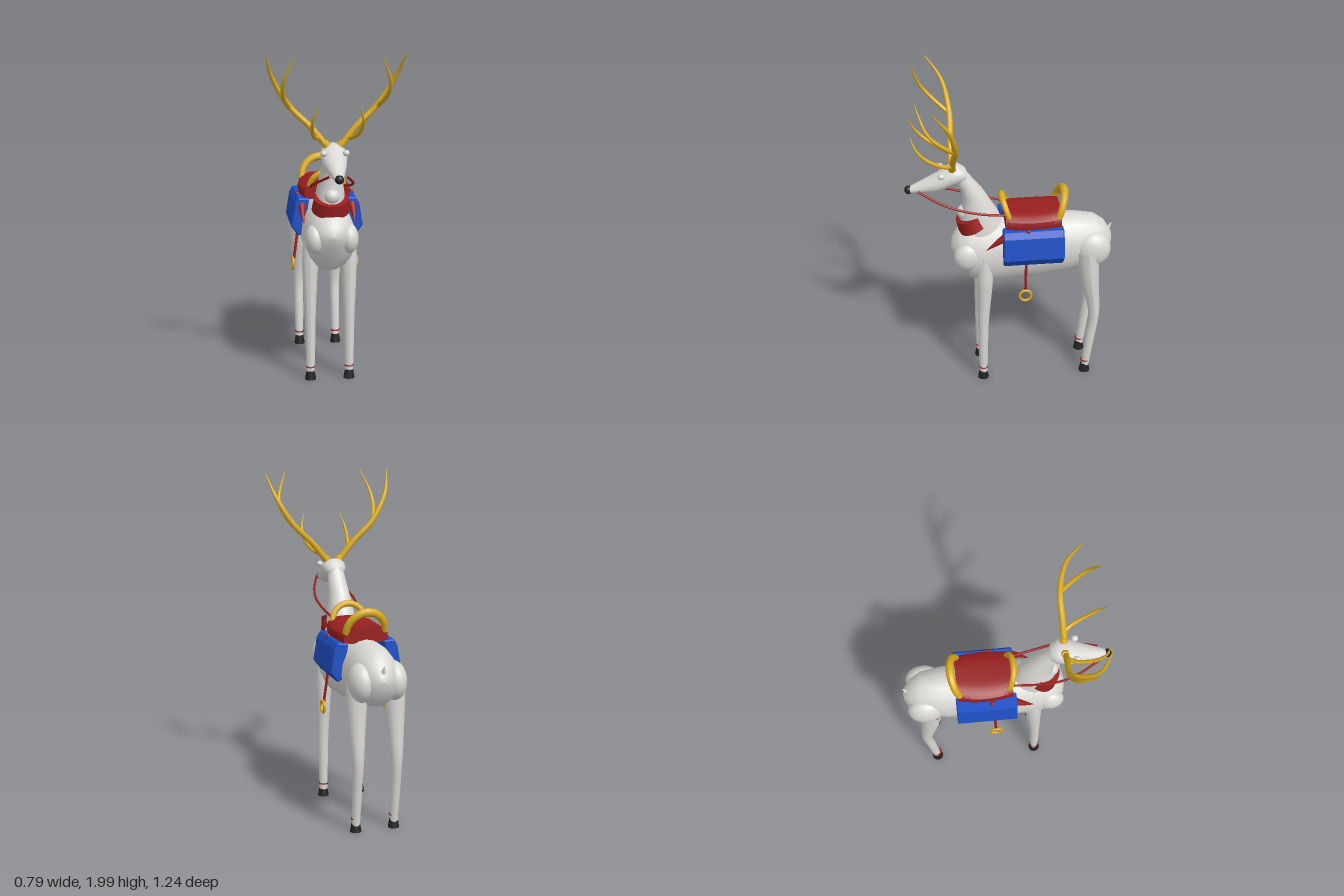
import * as THREE from 'three';
import { toCreasedNormals } from 'three/addons/utils/BufferGeometryUtils.js';

const paint = (name, color) => {
  const m = new THREE.MeshStandardMaterial({ color });
  m.name = name;
  return m;
};
const V = (x, y, z) => new THREE.Vector3(x, y, z);

// Skin over elliptical rings [z1, y1, z2, y2, halfWidth], spanning two points of the side profile
function loft(rings, sides = 20) {
  const pos = [], idx = [];
  for (const [z1, y1, z2, y2, w] of rings) {
    for (let j = 0; j < sides; j++) {
      const t = (j / sides) * Math.PI * 2, c = Math.cos(t) / 2;
      pos.push(Math.sin(t) * w, (y1 + y2) / 2 + c * (y1 - y2), (z1 + z2) / 2 + c * (z1 - z2));
    }
  }
  for (let i = 0; i < rings.length - 1; i++) {
    for (let j = 0; j < sides; j++) {
      const a = i * sides + j, b = i * sides + (j + 1) % sides, c = a + sides, d = b + sides;
      idx.push(a, c, b, b, c, d);
    }
  }
  const g = new THREE.BufferGeometry();
  g.setAttribute('position', new THREE.Float32BufferAttribute(pos, 3));
  g.setIndex(idx);
  g.computeVertexNormals();
  return g;
}

// Tube whose radius follows a list spread evenly along the path
function taperedTube(points, radii, segments = 24, sides = 12) {
  const curve = new THREE.CatmullRomCurve3(points, false, 'centripetal');
  const g = new THREE.TubeGeometry(curve, segments, 1, sides);
  const p = g.attributes.position, v = V(0, 0, 0);
  for (let i = 0; i < p.count; i++) {
    const u = Math.floor(i / (sides + 1)) / segments;
    const f = u * (radii.length - 1), k = Math.min(Math.floor(f), radii.length - 2);
    const r = THREE.MathUtils.lerp(radii[k], radii[k + 1], f - k);
    const c = curve.getPointAt(u);
    v.fromBufferAttribute(p, i).sub(c).multiplyScalar(r).add(c);
    p.setXYZ(i, v.x, v.y, v.z);
  }
  g.computeVertexNormals();
  return g;
}

export function createModel() {
  const model = new THREE.Group();
  model.name = 'saddledStag';
  const white = paint('coat white', 0xd9d8d5);
  const red = paint('saddle red', 0x981f1f);
  const blue = paint('blanket blue', 0x1f50c6);
  const gold = paint('gold', 0xd8aa20);
  const black = paint('hoof black', 0x222222);

  const add = (name, geo, mat, x = 0, y = 0, z = 0) => {
    const m = new THREE.Mesh(geo, mat);
    m.name = name;
    m.position.set(x, y, z);
    model.add(m);
    return m;
  };
  const ball = (name, mat, r, x, y, z, sx = 1, sy = 1, sz = 1) => {
    const m = add(name, new THREE.SphereGeometry(r, 20, 14), mat, x, y, z);
    m.scale.set(sx, sy, sz);
    return m;
  };

  // Trunk, neck and head
  add('body', loft([
    [-0.615, 0.925, -0.615, 0.92, 0.001], [-0.608, 0.96, -0.61, 0.89, 0.035],
    [-0.565, 1.035, -0.58, 0.8, 0.09], [-0.5, 1.08, -0.5, 0.755, 0.13],
    [-0.38, 1.1, -0.35, 0.72, 0.15], [-0.15, 1.1, -0.15, 0.69, 0.155],
    [0.05, 1.095, 0.05, 0.675, 0.155], [0.15, 1.08, 0.16, 0.67, 0.155],
    [0.25, 1.07, 0.24, 0.7, 0.145], [0.31, 1.04, 0.29, 0.77, 0.12],
    [0.35, 0.98, 0.345, 0.86, 0.07], [0.362, 0.925, 0.362, 0.92, 0.001],
  ]), white);
  add('neck', loft([
    [0.04, 1.05, 0.3, 1.0, 0.1], [0.075, 1.15, 0.305, 1.1, 0.088],
    [0.1, 1.19, 0.295, 1.16, 0.08], [0.165, 1.3, 0.28, 1.24, 0.064],
    [0.22, 1.37, 0.3, 1.31, 0.056], [0.27, 1.44, 0.34, 1.38, 0.05],
  ]), white);
  ball('throat', white, 0.045, 0, 1.15, 0.275, 1, 1, 1);
  add('head', loft([
    [0.25, 1.41, 0.25, 1.4, 0.001], [0.265, 1.445, 0.265, 1.37, 0.05],
    [0.31, 1.475, 0.31, 1.355, 0.072], [0.36, 1.465, 0.36, 1.335, 0.077],
    [0.43, 1.42, 0.43, 1.305, 0.064], [0.51, 1.38, 0.51, 1.3, 0.045],
    [0.58, 1.345, 0.58, 1.3, 0.028], [0.605, 1.335, 0.605, 1.305, 0.018],
    [0.61, 1.32, 0.61, 1.319, 0.001],
  ]), white);
  ball('nose', black, 0.025, 0, 1.32, 0.597);
  const tail = add('tail', new THREE.ConeGeometry(0.018, 0.06, 10), white, 0, 0.995, -0.6);
  tail.rotation.x = -0.5;

  // Collar around the base of the neck
  add('collar', toCreasedNormals(loft([
    [0.18, 1.09, 0.26, 1.05, 0.05], [0.13, 1.1, 0.31, 1.02, 0.112],
    [0.165, 1.165, 0.327, 1.1, 0.1], [0.21, 1.145, 0.28, 1.115, 0.04],
  ], 24), 0.7), red);

  // Seat: a domed slab, widest at its middle
  const seat = new THREE.BoxGeometry(2, 1, 2, 12, 2, 12);
  const sp = seat.attributes.position;
  for (let i = 0; i < sp.count; i++) {
    const x = sp.getX(i), h = sp.getY(i) + 0.5, z = sp.getZ(i);
    const side = 0.135 + 0.02 * (1 - z * z) - 0.006 * (2 * h - 1) ** 2;
    sp.setXYZ(i, x * side, 1.08 + h * (0.088 - 0.035 * x ** 4 + 0.008 * z * z), -0.125 + z * 0.165);
  }
  seat.computeVertexNormals();
  add('seat', toCreasedNormals(seat, 0.7), red);

  // Curved grips before and behind the seat
  const grip = (name, w, z0, z1, y1, r) => {
    const pts = [];
    for (let i = 0; i <= 8; i++) {
      const a = (i / 8) * Math.PI, s = Math.sin(a);
      pts.push(V(Math.cos(a) * w, 1.14 + s * (y1 - 1.14), z0 + s * (z1 - z0)));
    }
    add(name, taperedTube(pts, [r * 0.8, r, r * 0.8], 32), gold);
  };
  grip('frontGrip', 0.105, 0.015, 0.053, 1.245, 0.02);
  grip('rearGrip', 0.118, -0.275, -0.318, 1.265, 0.025);

  // Cross-section of one hanging saddle bag
  const bag = new THREE.Shape([
    [0.115, 1.08], [0.168, 1.082], [0.187, 1.05], [0.208, 0.92], [0.172, 0.87], [0.145, 0.88],
  ].map(([x, y]) => new THREE.Vector2(x, y)));
  const bagGeo = new THREE.ExtrudeGeometry(bag, {
    depth: 0.344, bevelThickness: 0.008, bevelSize: 0.007, bevelSegments: 1,
  });

  for (const s of [1, -1]) {
    const side = s > 0 ? 'left' : 'right';
    const tube = (name, mat, pts, radii, n) =>
      add(side + name, taperedTube(pts.map(([x, y, z]) => V(s * x, y, z)), radii, n), mat);

    // Muscles and eyes
    ball(side + 'Haunch', white, 0.11, s * 0.098, 0.9, -0.485, 0.68, 1.05, 1);
    ball(side + 'Shoulder', white, 0.085, s * 0.1, 0.895, 0.265, 0.68, 1.05, 1);
    ball(side + 'Eye', white, 0.021, s * 0.064, 1.43, 0.408, 0.9, 0.85, 1);

    // Legs with anklets and hooves
    tube('FrontLeg', white, [[0.11, 0.9, 0.165], [0.116, 0.7, 0.168], [0.117, 0.4, 0.18], [0.117, 0.04, 0.183]],
      [0.045, 0.049, 0.04, 0.032, 0.029, 0.025]);
    tube('RearLeg', white, [[0.11, 0.9, -0.455], [0.116, 0.72, -0.47], [0.117, 0.43, -0.505],
      [0.117, 0.25, -0.485], [0.117, 0.04, -0.46]], [0.07, 0.058, 0.042, 0.03, 0.028, 0.024]);
    for (const [end, z] of [['Front', 0.184], ['Rear', -0.457]]) {
      add(side + end + 'Hoof', new THREE.CylinderGeometry(0.024, 0.034, 0.055, 14), black, s * 0.117, 0.0275, z);
      const band = add(side + end + 'Anklet', new THREE.TorusGeometry(0.024, 0.005, 8, 20), red, s * 0.117, 0.08, z - 0.002);
      band.rotation.x = Math.PI / 2;
    }

    // Antler: burr, main beam and two tines
    const burr = add(side + 'Burr', new THREE.CylinderGeometry(0.021, 0.024, 0.03, 12), gold, s * 0.045, 1.472, 0.342);
    burr.rotation.z = -s * 0.6;
    tube('Beam', gold, [[0.04, 1.46, 0.345], [0.13, 1.57, 0.34], [0.25, 1.69, 0.335],
      [0.345, 1.85, 0.37], [0.39, 1.99, 0.46]], [0.019, 0.018, 0.017, 0.012, 0.003], 36);
    tube('UpperTine', gold, [[0.25, 1.68, 0.337], [0.292, 1.76, 0.43], [0.297, 1.84, 0.495],
      [0.243, 1.99, 0.55]], [0.013, 0.012, 0.009, 0.002]);
    tube('BrowTine', gold, [[0.08, 1.505, 0.343], [0.112, 1.52, 0.39], [0.138, 1.58, 0.49],
      [0.138, 1.65, 0.55], [0.115, 1.72, 0.578]], [0.013, 0.012, 0.009, 0.002]);

    // Bag, mirrored by a half turn
    const b = add(side + 'Bag', bagGeo, blue, 0, 0, s > 0 ? -0.292 : 0.052);
    if (s < 0) b.rotation.y = Math.PI;

    // Stirrup strap, knob and ring
    tube('StirrupStrap', red, [[0.165, 1.1, -0.088], [0.165, 0.88, -0.077], [0.188, 0.685, -0.07]], [0.008, 0.008]);
    ball(side + 'StrapKnob', red, 0.013, s * 0.166, 1.088, -0.088);
    const ring = add(side + 'StirrupRing', new THREE.TorusGeometry(0.035, 0.008, 10, 28), gold, s * 0.195, 0.655, -0.07);
    ring.rotation.y = Math.PI / 2;

    // Breast strap point and reins
    tube('BreastStrap', red, [[0.15, 1.05, 0.04], [0.153, 1.01, 0.1], [0.15, 0.965, 0.158]], [0.026, 0.015, 0.002]);
    tube('Rein', red, [[0.045, 1.328, 0.545], [0.097, 1.27, 0.42], [0.118, 1.23, 0.31],
      [0.11, 1.19, 0.18], [0.09, 1.16, 0.03]], [0.007, 0.007], 32);
  }
  return model;
}
